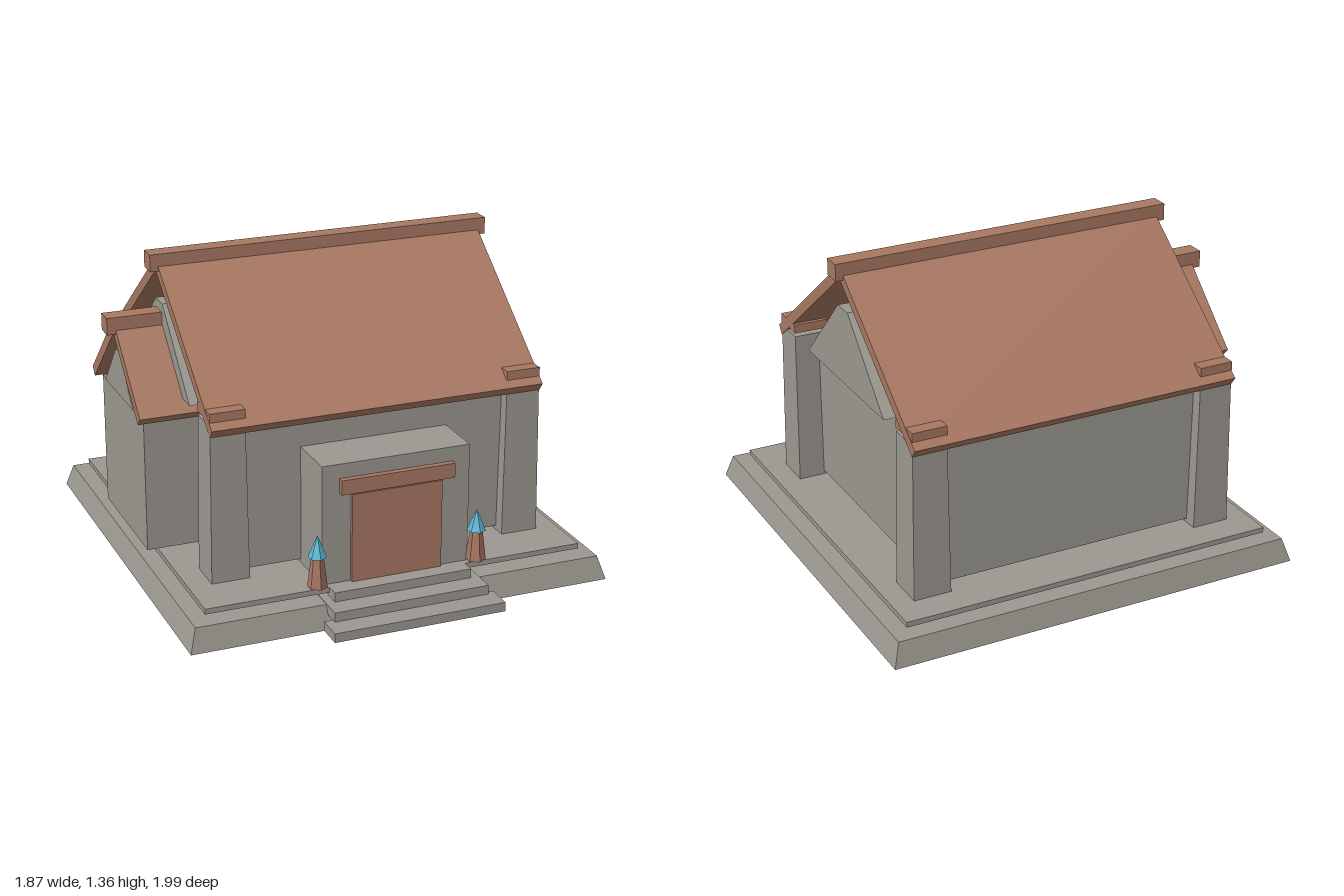
import * as THREE from 'three';

const material = (name, color) => {
  const m = new THREE.MeshStandardMaterial({ color });
  m.name = name;
  return m;
};

export function createModel() {
  const stone = material('stone', 0x9c9891);
  const wood = material('wood', 0xa87862);
  const blue = material('blue', 0x5ab8d4);
  const model = new THREE.Group();
  const X = 0.017, Z = -0.115; // centre of the house

  const add = (name, geometry, mat, parent = model) => {
    const mesh = new THREE.Mesh(geometry, mat);
    mesh.name = name;
    parent.add(mesh);
    return mesh;
  };

  // Box given by its limits; inset pulls the top edges inwards
  const block = (name, mat, [x0, x1], [y0, y1], [z0, z1], inset = 0, parent = model) => {
    const g = new THREE.BoxGeometry(x1 - x0, y1 - y0, z1 - z0);
    const p = g.attributes.position;
    for (let i = 0; i < p.count; i++) {
      if (p.getY(i) > 0) {
        p.setX(i, p.getX(i) - Math.sign(p.getX(i)) * inset);
        p.setZ(i, p.getZ(i) - Math.sign(p.getZ(i)) * inset);
      }
    }
    g.computeVertexNormals();
    g.translate((x0 + x1) / 2, (y0 + y1) / 2, (z0 + z1) / 2);
    return add(name, g, mat, parent);
  };

  // Outline in (z offset, y), extruded along x
  const prism = (name, mat, points, [x0, x1], parent = model) => {
    const shape = new THREE.Shape(points.map(([z, y]) => new THREE.Vector2(-z, y)));
    const g = new THREE.ExtrudeGeometry(shape, { depth: x1 - x0, bevelEnabled: false });
    g.rotateY(Math.PI / 2);
    g.translate(x0, 0, Z);
    return add(name, g, mat, parent);
  };

  // Two sloping slabs and a ridge beam
  const roof = (name, xs, ridgeXs, half, eaveY, peakY, ridgeYs) => {
    const group = new THREE.Group();
    group.name = name;
    const t = 0.045;
    const a = Math.atan2(peakY - eaveY, half);
    const drop = t / Math.cos(a);
    for (const s of [1, -1]) {
      prism('roofSlope', wood, [
        [0, peakY], [s * half, eaveY],
        [s * (half - t * Math.sin(a)), eaveY - t * Math.cos(a)], [0, peakY - drop],
      ], xs, group);
    }
    block('ridgeBeam', wood, ridgeXs, ridgeYs, [Z - 0.04, Z + 0.04], 0, group);
    model.add(group);
  };

  // Foundation and floor
  block('foundation', stone, [-0.905, 0.935], [0, 0.1], [-0.997, 0.843], 0.03);
  block('floorSlab', stone, [-0.815, 0.845], [0.12, 0.143], [-0.915, 0.755]);

  // Front steps
  block('topStep', stone, [-0.285, 0.318], [0.103, 0.143], [0.6, 0.812]);
  block('middleStep', stone, [-0.322, 0.355], [0.063, 0.103], [0.7, 0.903]);
  block('bottomStep', stone, [-0.36, 0.387], [0.023, 0.063], [0.883, 0.997]);

  // Main hall with its gables
  block('hallWalls', stone, [-0.6, 0.635], [0.16, 0.797], [Z - 0.61, Z + 0.61]);
  prism('hallGable', stone, [[-0.38, 0.81], [0.38, 0.81], [0.048, 1.143], [-0.048, 1.143]], [-0.7, 0.735]);

  // Corner pillars with floating caps
  for (const sx of [-1, 1]) {
    for (const sz of [-1, 1]) {
      const px = X + sx * 0.651, pz = Z + sz * 0.585;
      block('cornerPillar', stone, [px - 0.082, px + 0.082], [0.143, 0.822], [pz - 0.082, pz + 0.082], 0.008);
      block('pillarCap', wood, [px - 0.075, px + 0.075], [0.838, 0.876], [pz - 0.075, pz + 0.075]);
    }
  }
  roof('hallRoof', [-0.71, 0.745], [-0.745, 0.777], 0.687, 0.812, 1.333, [1.283, 1.356]);

  // Side annex
  block('annexWalls', stone, [-0.87, -0.55], [0.16, 0.74], [Z - 0.293, Z + 0.293]);
  prism('annexGable', stone, [[-0.2, 0.752], [0.2, 0.752], [0.025, 0.95], [-0.025, 0.95]], [-0.885, -0.6]);
  roof('annexRoof', [-0.9, -0.56], [-0.937, -0.56], 0.345, 0.765, 1.087, [1.033, 1.106]);

  // Porch, door and lintel
  block('porch', stone, [-0.307, 0.34], [0.143, 0.66], [0.45, 0.726]);
  block('door', wood, [-0.182, 0.214], [0.143, 0.527], [0.7, 0.742]);
  block('doorLintel', wood, [-0.232, 0.265], [0.535, 0.598], [0.7, 0.752]);

  // Torches beside the door
  for (const sx of [-1, 1]) {
    const torch = new THREE.Group();
    torch.name = 'torch';
    torch.position.set(X + sx * 0.352, 0, 0.748);
    const stand = new THREE.CylinderGeometry(0.025, 0.042, 0.135, 6).toNonIndexed();
    const flame = new THREE.ConeGeometry(0.039, 0.095, 6).toNonIndexed();
    stand.computeVertexNormals();
    flame.computeVertexNormals();
    add('torchStand', stand, wood, torch).position.y = 0.221;
    add('torchFlame', flame, blue, torch).position.y = 0.331;
    model.add(torch);
  }
  return model;
}
